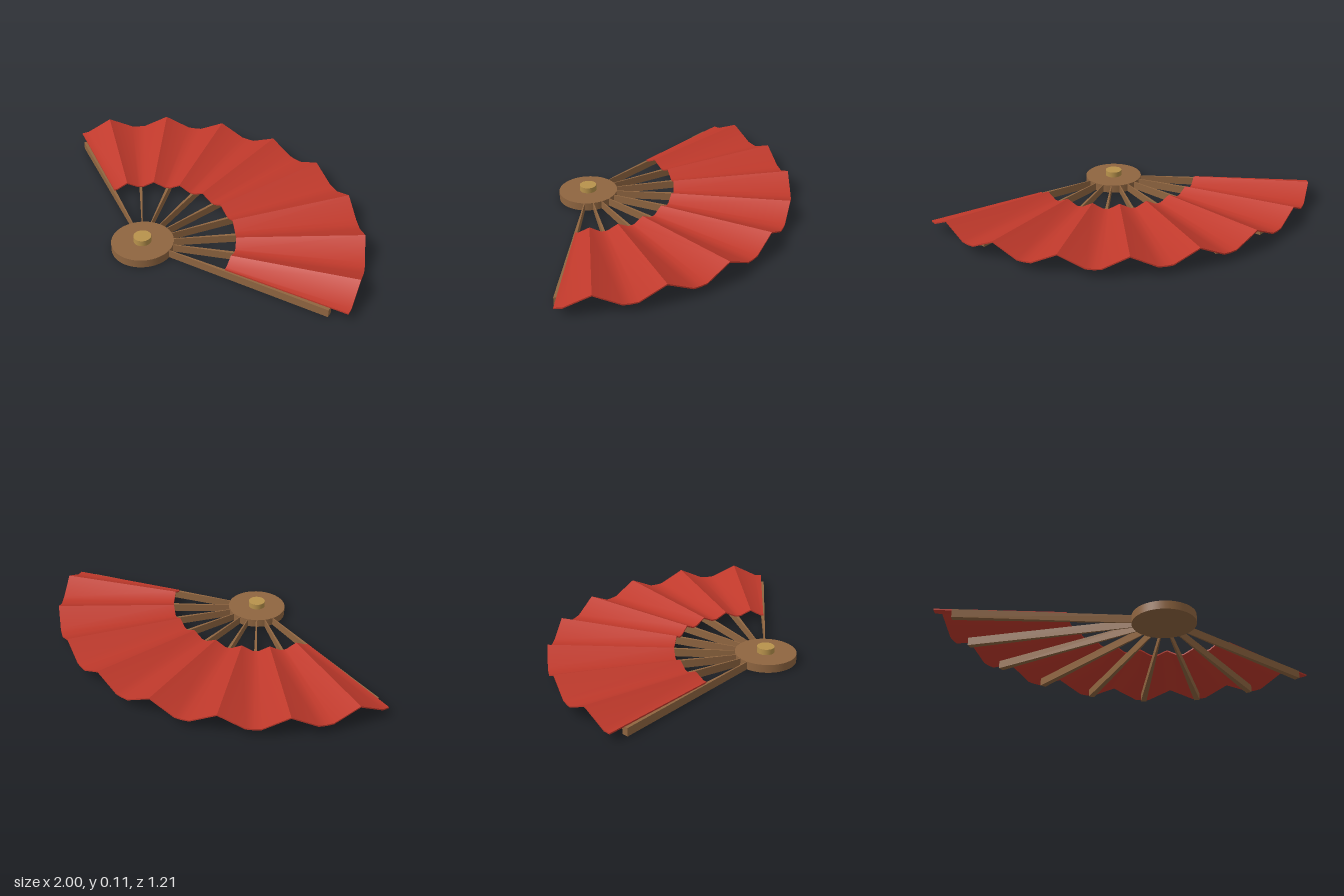
import * as THREE from 'three';
import { toCreasedNormals } from 'three/addons/utils/BufferGeometryUtils.js';

const PIVOT_Z = 0.4525;               // centre of the fan's arc
const HALF = THREE.MathUtils.degToRad(70.9);
const PLEATS = 8;
const STEP = (2 * HALF) / PLEATS;     // angle between neighbouring ribs
const INNER = 0.45, OUTER = 1.058;    // radii of the leaf

// Point at angle a (0 = straight back) and radius r around the pivot
const polar = (a, r, y) => [r * Math.sin(a), y, -r * Math.cos(a)];

// Pleated leaf: a thin closed sheet with sharp peaks and softened valleys on the ribs
function leafGeometry() {
  const profile = [[0, 0], [0.11, 0.03], [0.5, 1], [0.89, 0.03]];
  const stations = [];
  for (let i = 0; i < PLEATS; i++) {
    for (const [t, h] of profile) stations.push([-HALF + (i + t) * STEP, h]);
  }
  stations.push([HALF, 0]);

  const base = 0.041, thick = 0.007, pos = [], idx = [];
  for (const [a, h] of stations) {
    const yi = base + 0.028 * h, yo = base + 0.063 * h;
    pos.push(...polar(a, INNER, yi), ...polar(a, OUTER, yo),
      ...polar(a, OUTER, yo + thick), ...polar(a, INNER, yi + thick));
  }
  const n = stations.length;
  for (let i = 0; i < n - 1; i++) {
    for (let k = 0; k < 4; k++) {
      const a = i * 4 + k, b = i * 4 + (k + 1) % 4, c = b + 4, d = a + 4;
      idx.push(a, b, c, a, c, d);
    }
  }
  // End caps at both edges of the leaf
  const e = (n - 1) * 4;
  idx.push(0, 2, 1, 0, 3, 2, e, e + 1, e + 2, e, e + 2, e + 3);

  const g = new THREE.BufferGeometry();
  g.setAttribute('position', new THREE.Float32BufferAttribute(pos, 3));
  g.setIndex(idx);
  return toCreasedNormals(g, 0.52);
}

// Rib: a bar lying along -z whose width grows with its distance from the pivot
function ribGeometry() {
  const start = 0.1, end = 0.972, height = 0.04;
  const g = new THREE.BoxGeometry(1, height, end - start);
  g.translate(0, height / 2, -(start + end) / 2);
  const p = g.attributes.position;
  for (let i = 0; i < p.count; i++) p.setX(i, p.getX(i) * 0.032 * -p.getZ(i));
  g.computeVertexNormals();
  return g;
}

export function createModel() {
  const fan = new THREE.Group();
  fan.name = 'foldingFan';
  const red = new THREE.MeshStandardMaterial({ color: 0xc0392b });
  const wood = new THREE.MeshStandardMaterial({ color: 0x8f6540 });
  const brass = new THREE.MeshStandardMaterial({ color: 0xb8924c });

  const add = (name, geometry, material, y = 0) => {
    const mesh = new THREE.Mesh(geometry, material);
    mesh.name = name;
    mesh.position.set(0, y, PIVOT_Z);
    fan.add(mesh);
    return mesh;
  };

  add('leaf', leafGeometry(), red);

  // One rib under every valley of the leaf
  const rib = ribGeometry();
  for (let i = 0; i <= PLEATS; i++) {
    add('rib' + (i + 1), rib, wood).rotation.y = HALF - i * STEP;
  }

  // Round hub and the pin through it
  add('hub', new THREE.CylinderGeometry(0.151, 0.151, 0.041, 48), wood, 0.0205);
  add('pin', new THREE.CylinderGeometry(0.043, 0.043, 0.05, 32), brass, 0.045);

  return fan;
}
